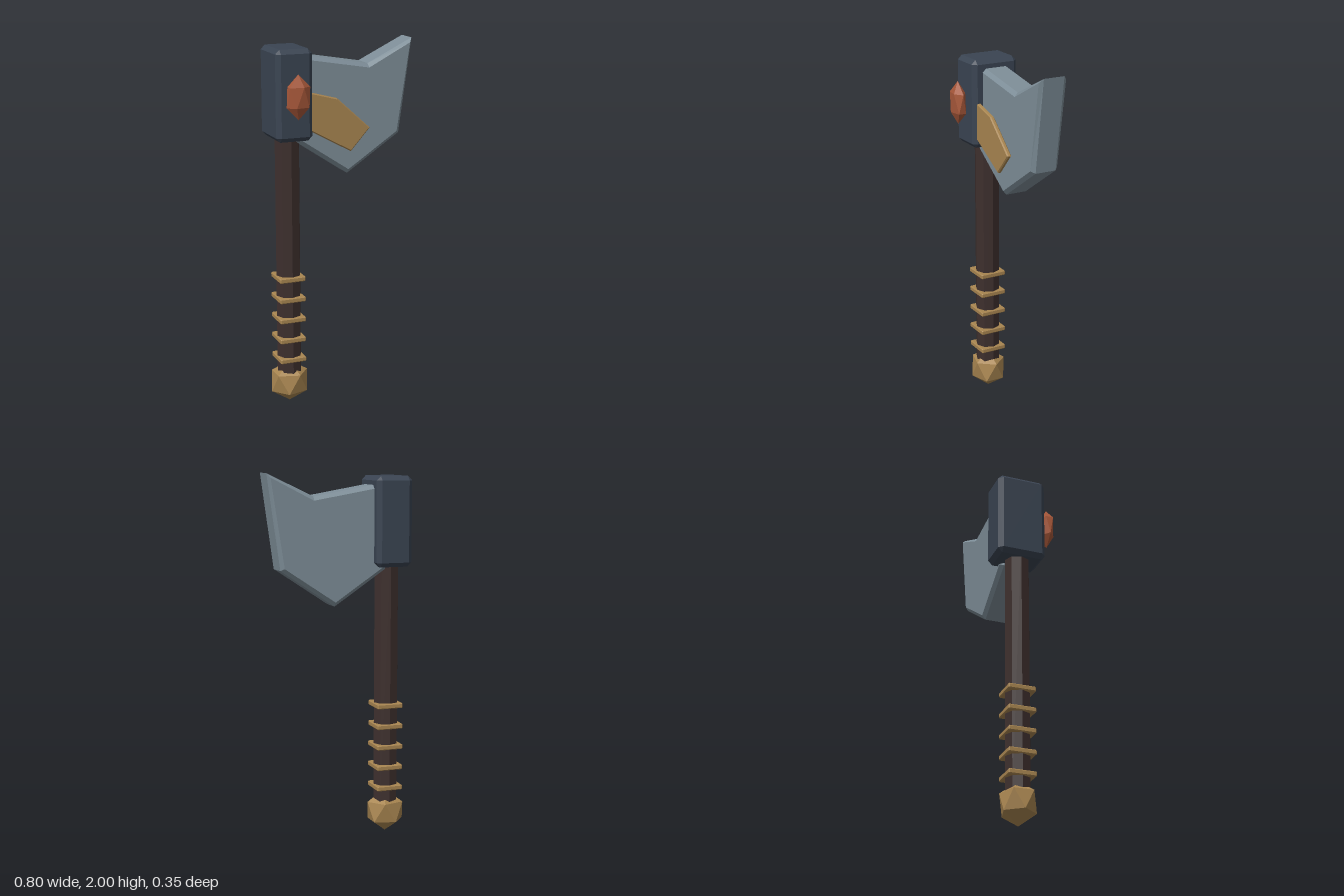
import * as THREE from 'three';
import { ConvexGeometry } from 'three/addons/geometries/ConvexGeometry.js';

const mat = (color) => new THREE.MeshStandardMaterial({ color, flatShading: true });
const AXIS_X = -0.302, AXIS_Z = -0.038;

// Box with every edge and corner cut by c
function chamferBox(w, h, d, c) {
  const pts = [];
  for (const x of [-1, 1]) for (const y of [-1, 1]) for (const z of [-1, 1]) {
    const [X, Y, Z] = [w / 2, h / 2, d / 2];
    pts.push(new THREE.Vector3(x * X, y * (Y - c), z * (Z - c)));
    pts.push(new THREE.Vector3(x * (X - c), y * Y, z * (Z - c)));
    pts.push(new THREE.Vector3(x * (X - c), y * (Y - c), z * Z));
  }
  return new ConvexGeometry(pts);
}

// Twenty-sided stone standing on one corner, stretched per axis
function facetedStone(rx, ry, rz) {
  return new THREE.IcosahedronGeometry(1, 0)
    .rotateZ(-Math.atan(2 / (1 + Math.sqrt(5))))
    .scale(rx, ry, rz);
}

// Bevelled plate from an outline, spanning z0 to z1
function plate(points, z0, z1, bevel) {
  const shape = new THREE.Shape(points.map(([x, y]) => new THREE.Vector2(x, y)));
  return new THREE.ExtrudeGeometry(shape, {
    depth: z1 - z0 - 2 * bevel, bevelEnabled: true,
    bevelThickness: bevel, bevelSize: bevel, bevelSegments: 1,
  }).translate(0, 0, z0 + bevel);
}

export function createModel() {
  const axe = new THREE.Group();
  axe.name = 'axe';
  const wood = mat(0x3d2f2d), gold = mat(0xa88550), iron = mat(0x3a4452);
  const steel = mat(0x7d8d97), amber = mat(0xa8583a);

  const add = (name, geometry, material, x = 0, y = 0, z = 0) => {
    const mesh = new THREE.Mesh(geometry, material);
    mesh.name = name;
    mesh.position.set(x, y, z);
    axe.add(mesh);
  };

  // Octagonal shaft
  add('handle', new THREE.CylinderGeometry(0.069, 0.069, 1.5, 8), wood, AXIS_X, 0.88, AXIS_Z);

  // Square bands around the grip
  for (let i = 0; i < 5; i++) {
    add('gripBand' + (i + 1), chamferBox(0.148, 0.028, 0.152, 0.005), gold, AXIS_X, 0.262 + i * 0.116, AXIS_Z);
  }

  // Faceted pommel
  add('pommel', facetedStone(0.116, 0.118, 0.104), gold, AXIS_X, 0.12, AXIS_Z);

  // Head block at the top of the shaft
  add('headBlock', chamferBox(0.203, 0.485, 0.27, 0.024), iron, -0.3, 1.74, -0.04);

  // Blade
  add('blade', plate([
    [-0.27, 1.925], [-0.2, 1.915], [0.14, 1.857], [0.377, 1.979],
    [0.303, 1.503], [0.02, 1.315], [-0.25, 1.495],
  ], -0.12, 0.04, 0.02), steel);

  // Ornamental plate in front of the blade
  add('bladeInlay', plate([
    [-0.25, 1.755], [-0.2, 1.742], [-0.06, 1.705],
    [0.122, 1.54], [0.02, 1.427], [-0.25, 1.575],
  ], 0.05, 0.075, 0.006), gold);

  // Gem in front of the head block
  add('gem', facetedStone(0.073, 0.119, 0.04), amber, -0.3, 1.742, 0.138);

  return axe;
}
